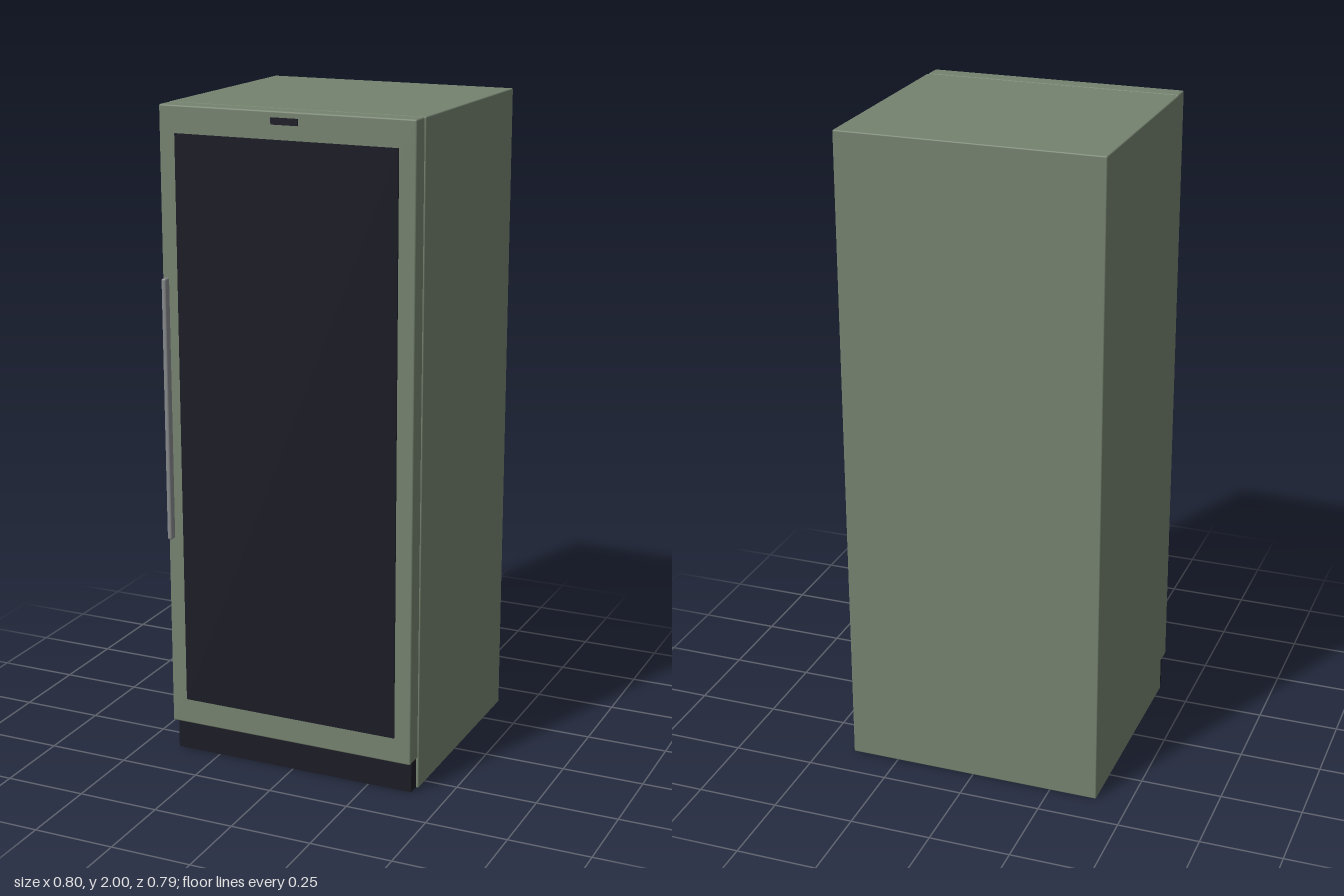
import * as THREE from 'three';
import { RoundedBoxGeometry } from 'three/addons/geometries/RoundedBoxGeometry.js';

const material = (name, color) => {
  const m = new THREE.MeshStandardMaterial({ color });
  m.name = name;
  return m;
};

export function createModel() {
  const model = new THREE.Group();
  model.name = 'refrigerator';

  const green = material('sage green', 0x75826f);
  const black = material('dark glass', 0x1b1b25);
  const steel = material('handle grey', 0x85888a);

  // Box given by its lower and upper corners; radius rounds the edges
  const addBox = (name, mat, [x0, y0, z0], [x1, y1, z1], radius = 0) => {
    const size = [x1 - x0, y1 - y0, z1 - z0];
    const geometry = radius
      ? new RoundedBoxGeometry(...size, 3, radius)
      : new THREE.BoxGeometry(...size);
    const mesh = new THREE.Mesh(geometry, mat);
    mesh.name = name;
    mesh.position.set((x0 + x1) / 2, (y0 + y1) / 2, (z0 + z1) / 2);
    model.add(mesh);
  };

  // Body and door
  addBox('cabinet', green, [-0.398, 0, -0.393], [0.398, 2, 0.305], 0.004);
  addBox('door', green, [-0.396, 0.1, 0.307], [0.396, 2, 0.367], 0.005);

  // Dark plinth set back under the door
  addBox('kickPlate', black, [-0.39, 0.002, 0.3], [0.39, 0.1, 0.342]);

  // Thin plates on the door face
  addBox('glassPanel', black, [-0.345, 0.18, 0.365], [0.345, 1.92, 0.371]);
  addBox('displayPanel', black, [-0.042, 1.962, 0.364], [0.042, 1.982, 0.369]);

  // Long upright handle
  addBox('handle', steel, [-0.388, 0.7, 0.366], [-0.373, 1.5, 0.393], 0.006);

  return model;
}
